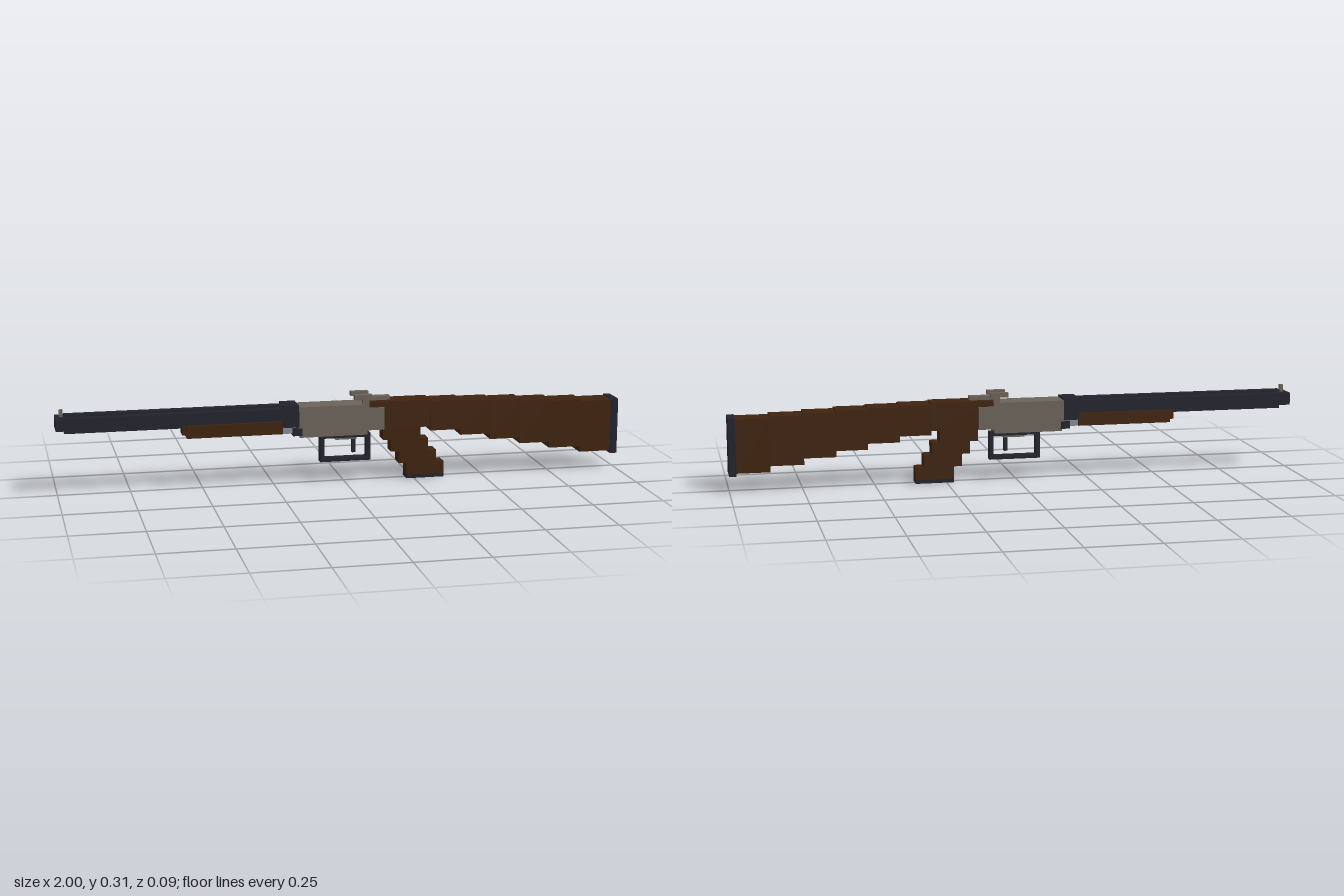
import * as THREE from 'three';

const material = (name, color) => {
  const m = new THREE.MeshStandardMaterial({ color });
  m.name = name;
  return m;
};

export function createModel() {
  const model = new THREE.Group();
  model.name = 'doubleBarrelGun';
  const wood = material('dark walnut', 0x3f240f);
  const blued = material('blued steel', 0x23232d);
  const steel = material('grey steel', 0x6b645a);
  const bright = material('bright steel', 0x878b92);

  // Box given by its limits along x, y and z
  const block = (name, mat, x0, x1, y0, y1, z0, z1) => {
    const mesh = new THREE.Mesh(new THREE.BoxGeometry(x1 - x0, y1 - y0, z1 - z0), mat);
    mesh.position.set((x0 + x1) / 2, (y0 + y1) / 2, (z0 + z1) / 2);
    mesh.name = name;
    model.add(mesh);
  };
  const centred = (name, mat, x0, x1, y0, y1, half) => block(name, mat, x0, x1, y0, y1, -half, half);
  const pair = (name, mat, x0, x1, y0, y1, z0, z1) => {
    block(name + 'Left', mat, x0, x1, y0, y1, -z1, -z0);
    block(name + 'Right', mat, x0, x1, y0, y1, z0, z1);
  };

  // Barrels with ribs, breech collar and bead
  pair('barrel', blued, -1, -0.17, 0.232, 0.275, 0, 0.04);
  centred('topRib', blued, -0.97, -0.17, 0.27, 0.284, 0.014);
  centred('bottomRib', blued, -0.97, -0.17, 0.217, 0.235, 0.014);
  centred('breechCollar', blued, -0.22, -0.165, 0.208, 0.285, 0.044);
  centred('bead', steel, -0.985, -0.973, 0.27, 0.3, 0.006);

  // Fore-end and hinge
  centred('foreEnd', wood, -0.555, -0.22, 0.184, 0.228, 0.033);
  centred('foreEndTip', wood, -0.57, -0.555, 0.195, 0.228, 0.028);
  centred('hingeIron', bright, -0.22, -0.168, 0.184, 0.212, 0.03);
  centred('hingePin', blued, -0.187, -0.155, 0.178, 0.204, 0.047);

  // Receiver
  centred('receiver', steel, -0.168, 0.085, 0.185, 0.278, 0.043);
  centred('receiverRear', steel, 0.085, 0.138, 0.185, 0.265, 0.043);
  centred('receiverFloor', steel, -0.16, 0.08, 0.168, 0.185, 0.034);

  // Hammers and opening lever
  pair('hammerStem', steel, 0.062, 0.085, 0.275, 0.3, 0.022, 0.042);
  pair('hammerSpur', steel, 0.032, 0.095, 0.296, 0.312, 0.022, 0.042);
  centred('leverTang', steel, 0.075, 0.165, 0.275, 0.299, 0.014);

  // Trigger and square guard
  centred('guardTop', blued, -0.085, 0.095, 0.156, 0.17, 0.016);
  centred('guardFront', blued, -0.085, -0.071, 0.085, 0.156, 0.016);
  centred('guardRear', blued, 0.081, 0.095, 0.085, 0.156, 0.016);
  centred('guardBottom', blued, -0.085, 0.095, 0.072, 0.085, 0.016);
  centred('triggerPlate', steel, -0.03, 0.045, 0.149, 0.16, 0.012);
  centred('trigger', blued, 0.03, 0.042, 0.1, 0.15, 0.007);

  // Stepped stock: start, end, bottom, top
  centred('stockWrist', wood, 0.085, 0.305, 0.187, 0.285, 0.038);
  [
    [0.305, 0.415, 0.173, 0.28],
    [0.415, 0.525, 0.152, 0.276],
    [0.525, 0.635, 0.131, 0.272],
    [0.635, 0.745, 0.11, 0.266],
    [0.745, 0.86, 0.088, 0.26],
    [0.86, 0.975, 0.067, 0.254],
  ].forEach((s, i) => centred('stockStep' + (i + 1), wood, ...s, 0.042));
  centred('buttPlate', blued, 0.975, 1, 0.057, 0.257, 0.045);

  // Stepped pistol grip with its cap
  for (let i = 0; i < 4; i++) {
    const x = 0.138 + i * 0.0285;
    const top = 0.187 - i * 0.0435;
    centred('gripStep' + (i + 1), wood, x, x + 0.135, top - 0.0435, top, 0.027);
  }
  centred('gripCap', blued, 0.2235, 0.3585, 0, 0.013, 0.0275);

  return model;
}
